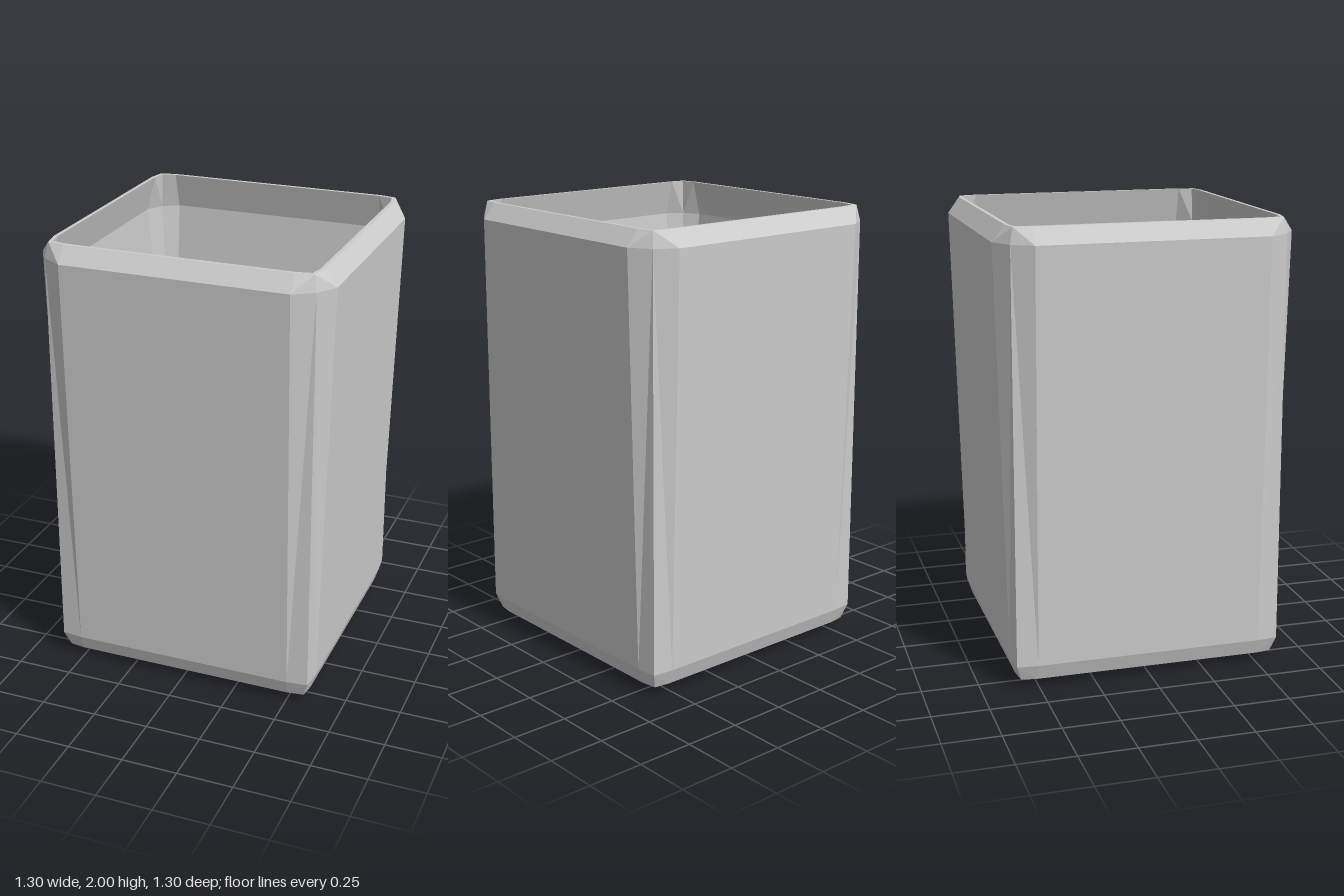
import * as THREE from 'three';

// Ring of 12 points: each side has two face points and one corner point.
function ring([y, face, corner, span]) {
  const points = [];
  for (let side = 0; side < 4; side++) {
    for (const [x, z] of [[-span, face], [span, face], [corner, corner]]) {
      const p = new THREE.Vector3(x, y, z);
      for (let i = 0; i < side; i++) p.set(p.z, y, -p.x);
      points.push(p);
    }
  }
  return points;
}

// Skin consecutive rings with flat facets, mirrored about each corner.
function loft(profile) {
  const rings = profile.map(ring);
  const triangles = [];
  const add = (p, q, r) => {
    const area = q.clone().sub(p).cross(r.clone().sub(p)).length();
    if (area > 1e-7) triangles.push(p, q, r);
  };
  for (let k = 0; k < rings.length - 1; k++) {
    for (let i = 0; i < 12; i++) {
      const j = (i + 1) % 12;
      const a = rings[k][i], b = rings[k][j], c = rings[k + 1][j], d = rings[k + 1][i];
      if (i % 3 === 2) { add(a, b, d); add(b, c, d); }
      else { add(a, b, c); add(a, c, d); }
    }
  }
  const geometry = new THREE.BufferGeometry().setFromPoints(triangles);
  geometry.computeVertexNormals();
  return geometry;
}

export function createModel() {
  const group = new THREE.Group();
  group.name = 'squareCup';
  const material = new THREE.MeshStandardMaterial({ color: 0xcccccc, flatShading: true });
  const addPart = (name, profile) => {
    const mesh = new THREE.Mesh(loft(profile), material);
    mesh.name = name;
    group.add(mesh);
  };

  // Profile rows: height, face distance, corner distance, half width of the flat face
  const S = 0.505;
  const rimOuter = [2, 0.597, 0.582, S];
  const rimInner = [2, 0.58, 0.568, S];

  // Base, bevels and tapered walls
  addPart('outerShell', [
    [0, 0, 0, 0],
    [0, S, S, S],
    [0.035, 0.585, 0.575, S],
    [0.105, 0.608, 0.598, S],
    [1.93, 0.652, 0.595, S],
    rimOuter,
  ]);

  // Narrow flat lip
  addPart('rim', [rimOuter, rimInner]);

  // Undercut below the lip, then walls narrowing to a square floor
  addPart('innerShell', [
    rimInner,
    [1.84, 0.62, 0.575, S],
    [0.4, S, S, S],
    [0.4, 0, 0, 0],
  ]);
  return group;
}
